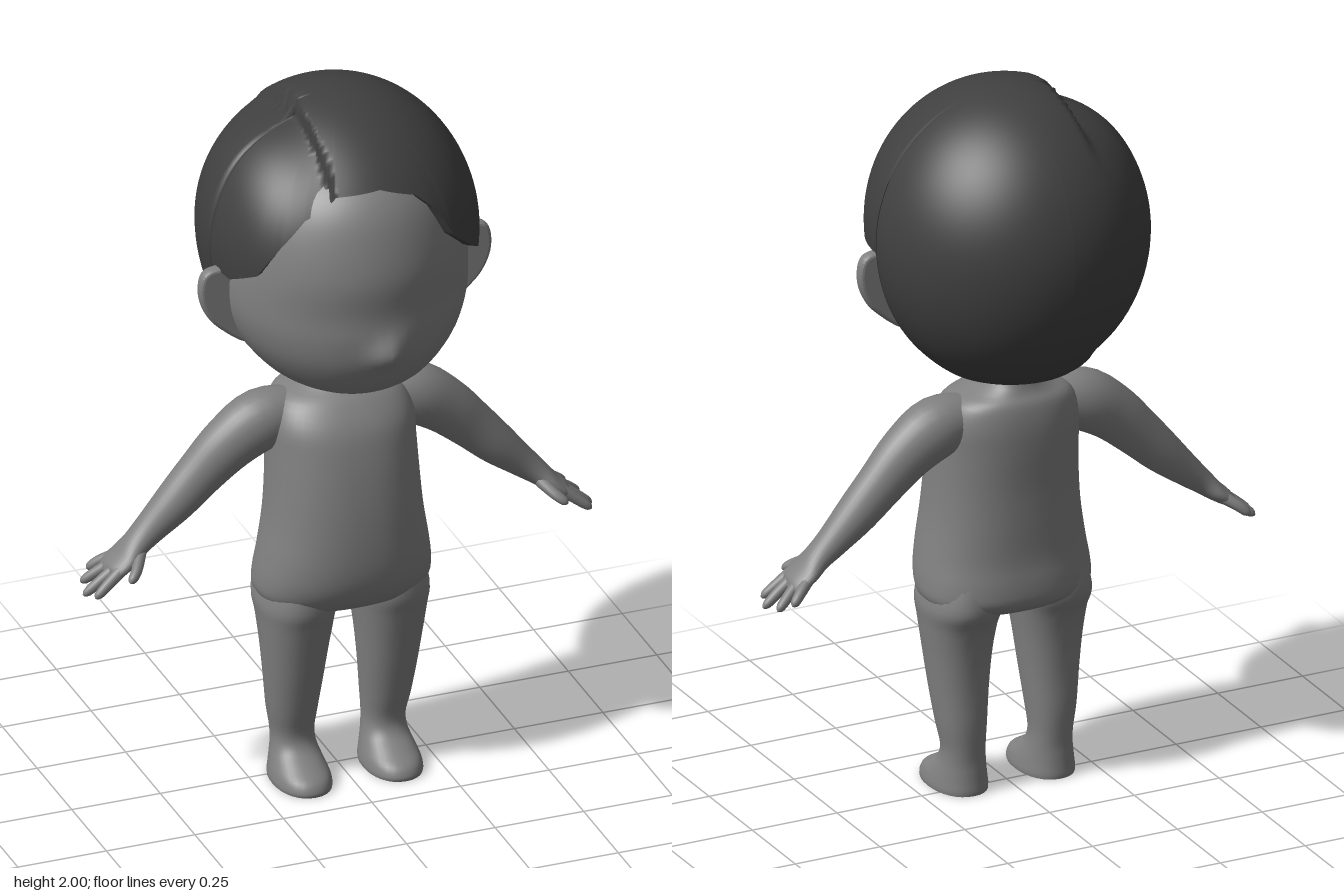
import * as THREE from 'three';

const skinMat = new THREE.MeshStandardMaterial({ color: 0x808080 });
const hairMat = new THREE.MeshStandardMaterial({ color: 0x404040, side: THREE.DoubleSide });
const { smoothstep, lerp, degToRad } = THREE.MathUtils;

// Catmull-Rom interpolation of every column of a table of sections
function smooth(rows, steps) {
  const out = [];
  const at = i => rows[Math.min(Math.max(i, 0), rows.length - 1)];
  for (let i = 0; i < rows.length - 1; i++) {
    for (let k = 0; k < steps; k++) {
      const t = k / steps;
      out.push(at(i).map((p1, c) => {
        const p0 = at(i - 1)[c], p2 = at(i + 1)[c], p3 = at(i + 2)[c];
        return p1 + 0.5 * t * (p2 - p0 + t * (2 * p0 - 5 * p1 + 4 * p2 - p3 + t * (3 * (p1 - p2) + p3 - p0)));
      }));
    }
  }
  out.push(at(rows.length - 1));
  return out;
}

// Closed skin over rings { c, u, v } with u x v along the direction of travel
function skin(rings, n, power = 2) {
  const pos = [], index = [];
  const shape = a => Math.sign(a) * Math.abs(a) ** (2 / power);
  const addRing = ({ c, u, v }) => {
    for (let j = 0; j < n; j++) {
      const a = j / n * Math.PI * 2;
      const p = c.clone().addScaledVector(u, shape(Math.cos(a))).addScaledVector(v, shape(Math.sin(a)));
      pos.push(p.x, p.y, p.z);
    }
  };
  rings.forEach(addRing);
  for (let i = 0; i < rings.length - 1; i++) {
    for (let j = 0; j < n; j++) {
      const a = i * n + j, b = i * n + (j + 1) % n;
      index.push(a, b, b + n, a, b + n, a + n);
    }
  }
  // end caps with their own vertices for a crisp edge
  [rings[0], rings[rings.length - 1]].forEach((ring, end) => {
    const start = pos.length / 3;
    addRing(ring);
    pos.push(ring.c.x, ring.c.y, ring.c.z);
    for (let j = 0; j < n; j++) {
      const a = start + j, b = start + (j + 1) % n;
      index.push(...(end ? [a, b, start + n] : [b, a, start + n]));
    }
  });
  const g = new THREE.BufferGeometry();
  g.setAttribute('position', new THREE.Float32BufferAttribute(pos, 3));
  g.setIndex(index);
  g.computeVertexNormals();
  return g;
}

// Horizontal sections [centre x, y, half width, front z, back z], top to bottom
function stack(rows, n, power) {
  return skin(smooth(rows, 4).map(([x, y, rx, zf, zb]) => ({
    c: new THREE.Vector3(x, y, (zf + zb) / 2),
    u: new THREE.Vector3(rx, 0, 0),
    v: new THREE.Vector3(0, 0, (zf - zb) / 2),
  })), n, power);
}

// Limb sections [x, y, z, thickness, breadth] along a path
function limb(rows, n, steps = 4) {
  const pts = smooth(rows, steps);
  const vec = r => new THREE.Vector3(r[0], r[1], r[2]);
  return skin(pts.map((r, i) => {
    const t = vec(pts[Math.min(i + 1, pts.length - 1)]).sub(vec(pts[Math.max(i - 1, 0)])).normalize();
    const u = new THREE.Vector3(-t.y, t.x, 0).normalize();
    const v = t.clone().cross(u);
    return { c: vec(r), u: u.multiplyScalar(r[3]), v: v.multiplyScalar(r[4]) };
  }), n);
}

function headGeometry() {
  const g = stack([
    [0, 1.90, 0.02, 0.05, -0.02], [0, 1.88, 0.14, 0.20, -0.15], [0, 1.84, 0.21, 0.275, -0.22],
    [0, 1.78, 0.265, 0.325, -0.26], [0, 1.70, 0.305, 0.355, -0.30], [0, 1.60, 0.325, 0.373, -0.32],
    [0, 1.50, 0.335, 0.366, -0.32], [0, 1.42, 0.325, 0.368, -0.31], [0, 1.34, 0.29, 0.353, -0.27],
    [0, 1.26, 0.225, 0.305, -0.20], [0, 1.21, 0.15, 0.23, -0.13], [0, 1.18, 0.08, 0.15, -0.03],
    [0, 1.17, 0.01, 0.08, 0.06],
  ], 72);
  // pull out a small pointed nose
  const p = g.attributes.position;
  for (let i = 0; i < p.count; i++) {
    if (p.getZ(i) < 0.2) continue;
    const d = Math.hypot(p.getX(i), p.getY(i) - 1.39);
    p.setZ(i, p.getZ(i) + 0.037 * Math.exp(-((d / 0.04) ** 2)));
  }
  g.computeVertexNormals();
  return g;
}

// Hairline height by angle around the head (0 = front, positive = left)
const hairline = [
  [-180, 1.22], [-87, 1.22], [-85.5, 1.56], [-72, 1.55], [-57, 1.60], [-47, 1.70], [-38, 1.78], [-23, 1.84],
  [0, 1.85], [18, 1.82], [27, 1.77], [34, 1.68], [50, 1.60], [62, 1.555], [83, 1.57], [84.5, 1.22], [180, 1.22],
];
function hairlineAt(a) {
  let i = 1;
  while (hairline[i][0] < a) i++;
  const [a0, y0] = hairline[i - 1], [a1, y1] = hairline[i];
  return lerp(y0, y1, (a - a0) / (a1 - a0));
}

function hairGeometry() {
  const angles = hairline.map(h => h[0]);
  for (let a = -177; a < 180; a += 3) if (!angles.includes(a)) angles.push(a);
  angles.sort((a, b) => a - b);
  const cy = 1.6, cz = -0.02, rows = 48, pos = [], index = [];
  const point = (deg, k, inset) => {
    const a = degToRad(deg), yEnd = hairlineAt(deg) - cy;
    const phi = Math.acos(yEnd / (yEnd > 0 ? 0.4 : 0.44)) * k;
    const x = 0.375 * Math.sin(phi) * Math.sin(a);
    const y = Math.cos(phi) * (Math.cos(phi) > 0 ? 0.4 : 0.44);
    const z = Math.sin(phi) * Math.cos(a) * (Math.cos(a) > 0 ? 0.42 : 0.38);
    // side parting: the right part sits lower than the left
    const step = smoothstep(-x, 0.115, 0.13) * smoothstep(z, -0.3, -0.08);
    const f = 1 - step * lerp(0.1, 0.025, smoothstep(-x, 0.13, 0.33));
    pos.push(x * f * inset, cy + y * (inset < 1 ? 1 : f), cz + z * f * inset);
  };
  for (const a of angles) {
    for (let k = 0; k <= rows; k++) point(a, k / rows, 1);
    point(a, 1, 1); // rim, turned in to the skull
    point(a, 1, 0.82);
  }
  const m = rows + 3;
  for (let i = 0; i < angles.length - 1; i++) {
    for (let k = 0; k < m - 1; k++) {
      if (k === rows) continue;
      const a = i * m + k, b = a + m;
      index.push(a, a + 1, b + 1, a, b + 1, b);
    }
  }
  const g = new THREE.BufferGeometry();
  g.setAttribute('position', new THREE.Float32BufferAttribute(pos, 3));
  g.setIndex(index);
  g.computeVertexNormals();
  return g;
}

function earGeometry(s) {
  const outline = [[0.30, 1.55], [0.36, 1.555], [0.395, 1.54], [0.40, 1.48], [0.375, 1.42], [0.33, 1.375], [0.29, 1.345]];
  const shape = new THREE.Shape();
  shape.moveTo(0.29 * s, 1.45);
  shape.lineTo(outline[0][0] * s, outline[0][1]);
  shape.splineThru(outline.slice(1).map(([x, y]) => new THREE.Vector2(x * s, y)));
  const g = new THREE.ExtrudeGeometry(shape, {
    depth: 0.012, bevelThickness: 0.012, bevelSize: 0.01, bevelSegments: 3, curveSegments: 5,
  });
  g.translate(0, 0, 0.045);
  return g;
}

export function createModel() {
  const model = new THREE.Group();
  const add = (name, geometry, material = skinMat, parent = model) => {
    const mesh = new THREE.Mesh(geometry, material);
    mesh.name = name;
    parent.add(mesh);
  };

  add('head', headGeometry());
  add('hair', hairGeometry(), hairMat);

  // neck, chest, belly and hips
  add('torso', stack([
    [0, 1.24, 0.07, 0.05, -0.10], [0, 1.18, 0.07, 0.055, -0.11], [0, 1.15, 0.11, 0.08, -0.12],
    [0, 1.12, 0.17, 0.12, -0.138], [0, 1.06, 0.198, 0.165, -0.148], [0, 0.98, 0.2, 0.19, -0.148],
    [0, 0.88, 0.204, 0.208, -0.143], [0, 0.78, 0.212, 0.218, -0.142], [0, 0.68, 0.228, 0.22, -0.142],
    [0, 0.61, 0.238, 0.21, -0.15], [0, 0.56, 0.235, 0.185, -0.148], [0, 0.53, 0.20, 0.15, -0.12],
    [0, 0.51, 0.12, 0.09, -0.07], [0, 0.505, 0.02, 0.03, -0.01],
  ], 48, 2.3));

  for (const s of [1, -1]) {
    const side = s > 0 ? 'left' : 'right';
    add(side + 'Ear', earGeometry(s));

    // leg and flat-soled foot
    add(side + 'Leg', stack([
      [0.125, 0.62, 0.09, 0.16, -0.12], [0.131, 0.54, 0.105, 0.165, -0.125], [0.132, 0.48, 0.099, 0.148, -0.095],
      [0.133, 0.40, 0.089, 0.128, -0.075], [0.133, 0.30, 0.078, 0.105, -0.066], [0.132, 0.20, 0.067, 0.08, -0.066],
      [0.129, 0.13, 0.058, 0.062, -0.062], [0.128, 0.09, 0.06, 0.075, -0.06], [0.128, 0.06, 0.067, 0.118, -0.062],
      [0.128, 0.035, 0.074, 0.16, -0.064], [0.128, 0.012, 0.078, 0.174, -0.066], [0.128, 0, 0.077, 0.172, -0.065],
    ].map(r => [r[0] * s, ...r.slice(1)]), 32, 2.2));

    const arm = new THREE.Group();
    arm.name = side + 'Arm';
    model.add(arm);
    const mirror = rows => rows.map(r => [r[0] * s, ...r.slice(1)]);

    // shoulder to palm
    add(side + 'ArmAndPalm', limb(mirror([
      [0.10, 1.07, -0.01, 0.06, 0.06], [0.21, 1.055, -0.01, 0.084, 0.078], [0.30, 1.0, -0.012, 0.077, 0.07],
      [0.38, 0.925, -0.015, 0.066, 0.06], [0.45, 0.855, -0.015, 0.057, 0.055], [0.52, 0.79, -0.015, 0.043, 0.046],
      [0.565, 0.75, -0.012, 0.034, 0.046], [0.60, 0.718, -0.01, 0.027, 0.06], [0.635, 0.692, -0.01, 0.021, 0.057],
      [0.65, 0.682, -0.008, 0.008, 0.03],
    ]), 28), skinMat, arm);

    // thumb and four fingers: base, middle and tip
    const digits = [
      [[0.565, 0.735, 0.02], [0.59, 0.712, 0.062], [0.617, 0.69, 0.088]],
      [[0.62, 0.703, 0.03], [0.66, 0.672, 0.037], [0.70, 0.64, 0.045]],
      [[0.62, 0.703, 0.004], [0.67, 0.667, 0.003], [0.717, 0.63, 0.0]],
      [[0.62, 0.703, -0.025], [0.665, 0.67, -0.042], [0.703, 0.64, -0.057]],
      [[0.61, 0.708, -0.048], [0.645, 0.685, -0.072], [0.674, 0.66, -0.088]],
    ];
    digits.forEach(([base, mid, tip], i) => {
      const nearTip = tip.map((t, c) => lerp(mid[c], t, 0.75));
      add(side + (i ? 'Finger' + i : 'Thumb'), limb(mirror([
        [...base, 0.017, 0.017], [...mid, 0.015, 0.015], [...nearTip, 0.012, 0.012], [...tip, 0.003, 0.003],
      ]), 12, 3), skinMat, arm);
    });
  }
  return model;
}
